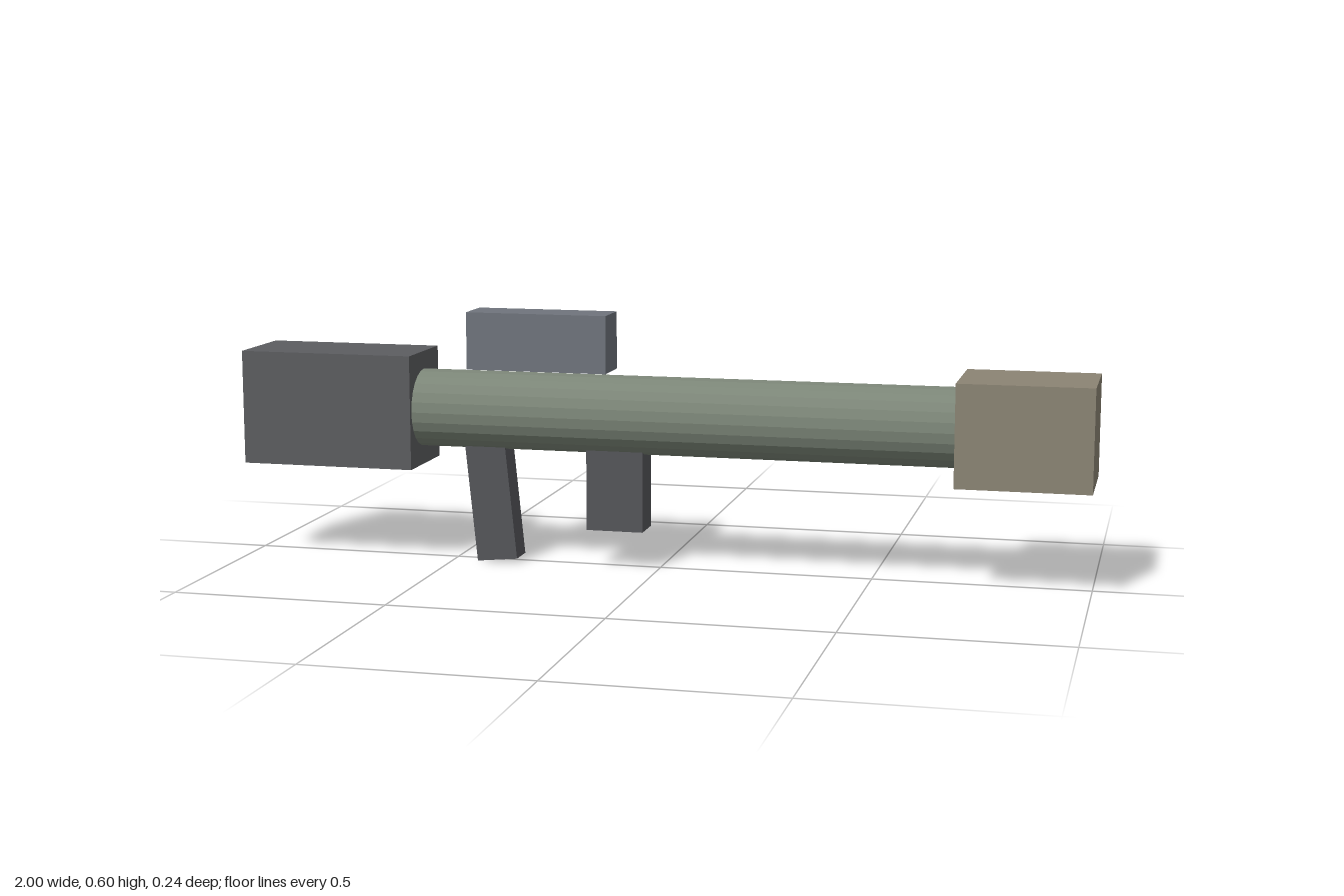
import * as THREE from 'three';

export function createModel() {
  const model = new THREE.Group();
  const mat = (color) => new THREE.MeshStandardMaterial({ color, flatShading: true });
  const darkGrey = mat(0x55565a);

  const add = (name, geometry, material, x, y, tilt = 0) => {
    const mesh = new THREE.Mesh(geometry, material);
    mesh.name = name;
    mesh.position.set(x, y, 0);
    mesh.rotation.z = tilt;
    model.add(mesh);
  };
  const box = (w, h, d) => new THREE.BoxGeometry(w, h, d);

  // Launch tube along x, ends buried in the end blocks
  const tube = new THREE.CylinderGeometry(0.092, 0.092, 1.4, 24).rotateZ(Math.PI / 2);
  add('tube', tube, mat(0x7b8577), 0.06, 0.361);

  // End blocks
  add('rearBlock', box(0.42, 0.27, 0.202), mat(0x5c5d60), -0.79, 0.36);
  add('muzzleBlock', box(0.304, 0.236, 0.238), mat(0x8b8474), 0.848, 0.36);

  // Sight housing just above the tube
  add('sight', box(0.337, 0.135, 0.102), mat(0x6f747c), -0.287, 0.529);

  // Grips under the tube
  add('foreGrip', box(0.135, 0.2, 0.084), darkGrey, -0.101, 0.19);
  add('rearGrip', box(0.098, 0.29, 0.067), darkGrey, -0.406, 0.149, 0.1);

  return model;
}
